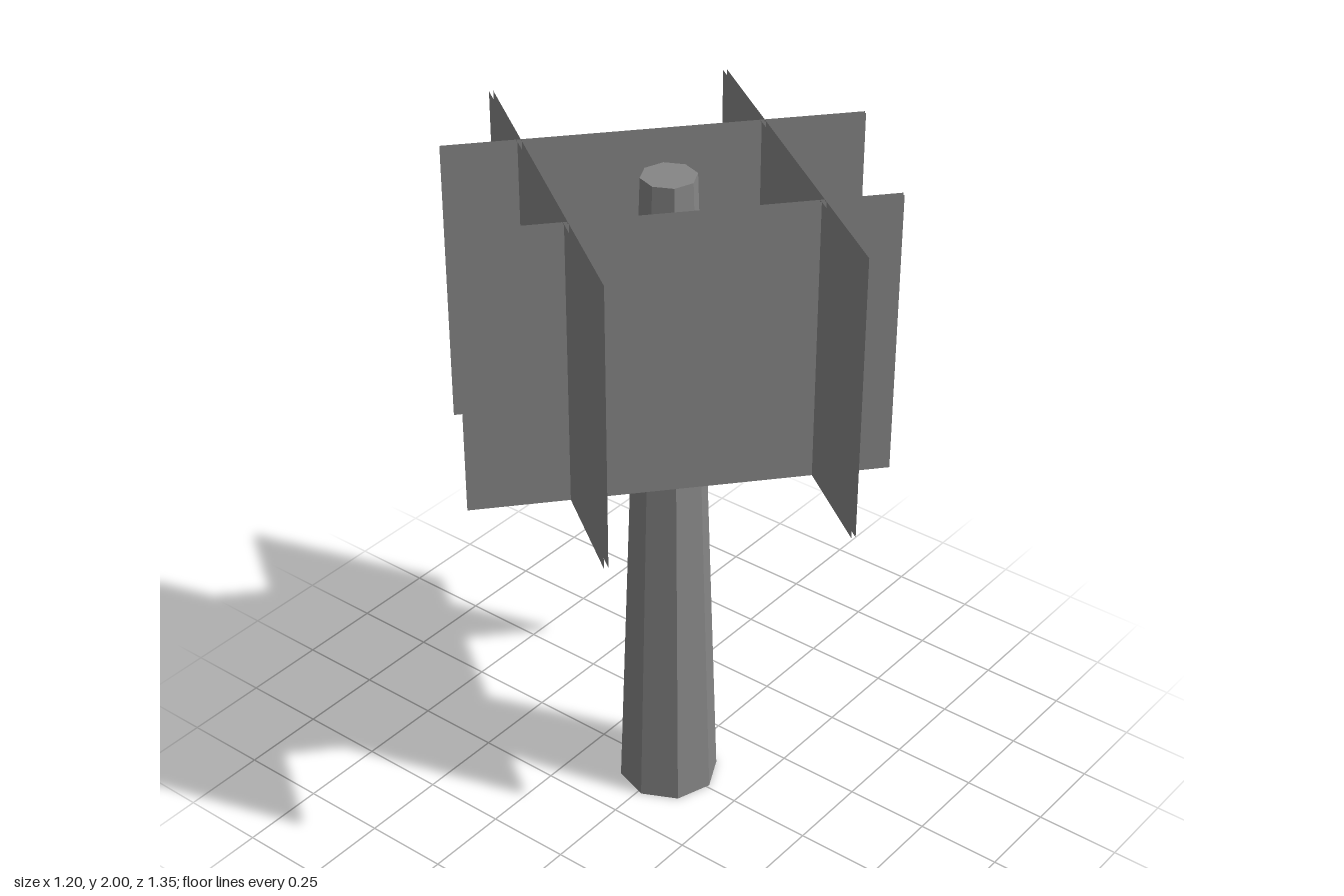
import * as THREE from 'three';

export function createModel() {
  const model = new THREE.Group();
  const bark = new THREE.MeshStandardMaterial({ color: 0x858585, flatShading: true });
  const leaf = new THREE.MeshStandardMaterial({ color: 0x858585, side: THREE.DoubleSide });

  // Tapered eight-sided trunk
  const trunkHeight = 1.985;
  const trunk = new THREE.Mesh(
    new THREE.CylinderGeometry(0.077, 0.146, trunkHeight, 8, 1, false, 0.07), bark);
  trunk.position.set(0, trunkHeight / 2, 0.003);
  trunk.name = 'trunk';
  model.add(trunk);

  // Upright foliage panel: two open sheets set back to back with a thin gap
  const bottom = 1.172, top = 2, gap = 0.012;
  function addPanel(name, x1, z1, x2, z2) {
    const panel = new THREE.Group();
    panel.name = name;
    const sheet = new THREE.PlaneGeometry(Math.hypot(x2 - x1, z2 - z1), top - bottom);
    for (const side of [1, -1]) {
      const mesh = new THREE.Mesh(sheet, leaf);
      mesh.name = side > 0 ? 'outerSheet' : 'innerSheet';
      mesh.position.z = side * gap / 2;
      mesh.rotation.y = side > 0 ? 0 : Math.PI;
      panel.add(mesh);
    }
    panel.position.set((x1 + x2) / 2, (bottom + top) / 2, (z1 + z2) / 2);
    panel.rotation.y = -Math.atan2(z2 - z1, x2 - x1);
    model.add(panel);
  }

  // Two crossing pairs of panels, each pair mirrored through the trunk
  for (const s of [1, -1]) {
    const end = s > 0 ? 'Front' : 'Back';
    addPanel('foliagePanel' + end, -0.598 * s, -0.205 * s, 0.268 * s, 0.553 * s);
    addPanel('crossFoliagePanel' + end, -0.072 * s, 0.674 * s, 0.578 * s, -0.255 * s);
  }
  return model;
}
